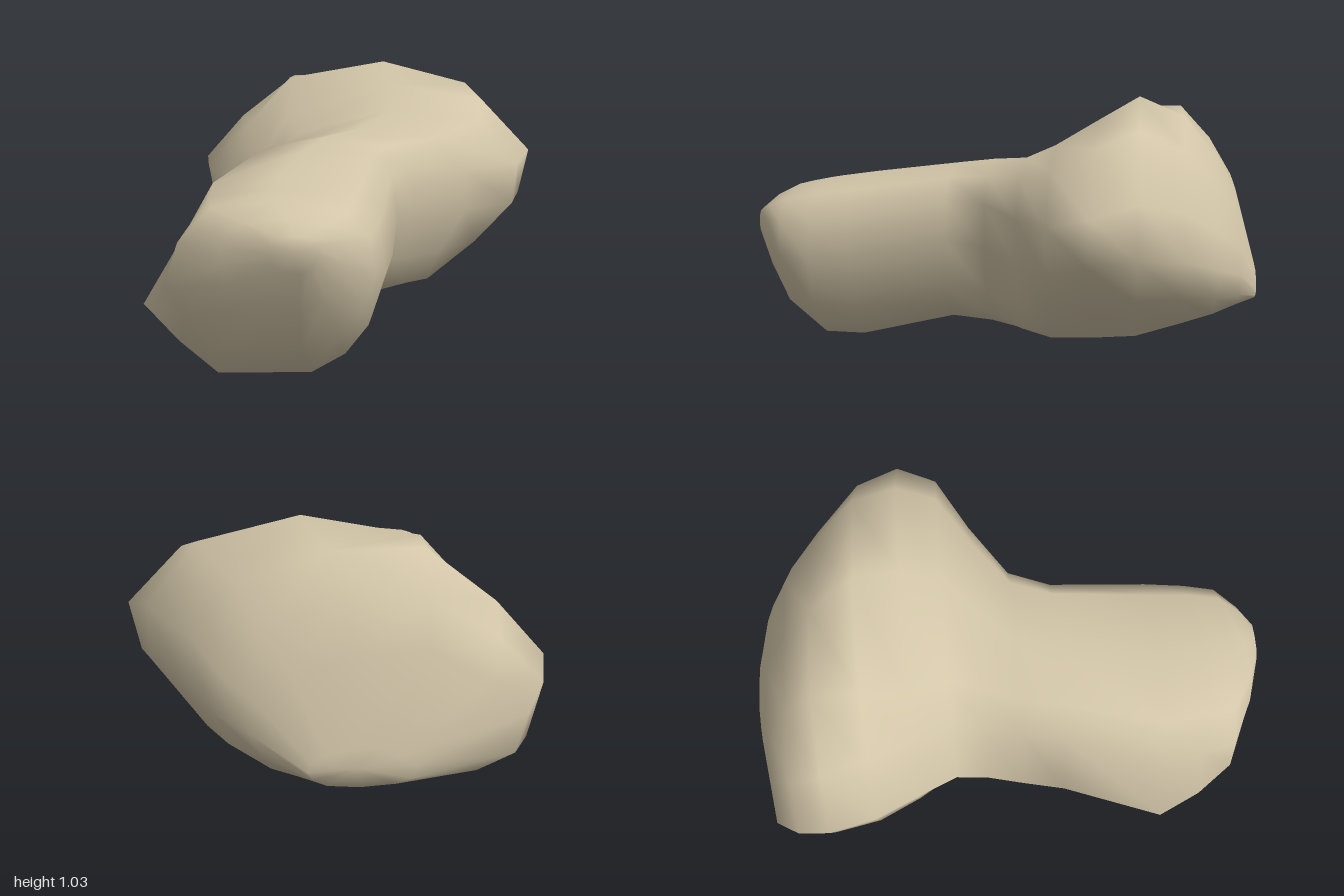
import * as THREE from 'three';

// Cross-section outlines, counter-clockwise from the +x side
const OUTLINES = [
  // rounded front end
  [[.17, .4], [.15, .52], [.08, .6], [-.15, .63], [-.38, .61], [-.5, .5],
    [-.52, .38], [-.46, .27], [-.33, .17], [-.08, .15], [.05, .2], [.13, .3]],
  // shaft
  [[.21, .4], [.18, .56], [.1, .64], [-.19, .665], [-.42, .64], [-.52, .47],
    [-.68, .21], [-.56, .1], [-.42, 0], [-.05, .03], [.06, .1], [.14, .19]],
  // front of the head, with the right lobe
  [[.68, .5], [.72, .68], [.52, .89], [.15, .95], [-.3, .82], [-.42, .64],
    [-.6, .5], [-.56, .3], [-.4, .2], [.05, .13], [.26, .14], [.5, .34]],
  // back of the head, with the left lobe
  [[.46, .47], [.42, .62], [.28, .8], [0, .9], [-.3, .93], [-.55, .76],
    [-.71, .58], [-.66, .35], [-.5, .25], [-.1, .19], [.25, .22], [.4, .33]],
];

// Rings from front to back: z, x range, y range, position between the outlines
const RINGS = [
  [.99, -.16, 0, .43, .55, 0],
  [.94, -.33, .08, .3, .595, 0],
  [.86, -.53, .17, .14, .635, .25],
  [.74, -.61, .195, .02, .66, .7],
  [.58, -.68, .207, 0, .68, 1],
  [.2, -.56, .205, .1, .735, 1],
  [.04, -.53, .26, .105, .76, 1.2],
  [-.1, -.505, .46, .11, .785, 1.5],
  [-.22, -.51, .67, .12, .85, 1.8],
  [-.37, -.59, .72, .125, .94, 2],
  [-.53, -.68, .635, .13, 1.03, 2.4],
  [-.7, -.72, .5, .17, .96, 2.85],
  [-.82, -.7, .4, .2, .83, 3],
  [-.91, -.64, .27, .22, .68, 3],
  [-.99, -.27, .08, .24, .38, 3],
];

// Scale an outline to the range 0..1 on both axes
function normalise(outline) {
  const box = new THREE.Box2().setFromPoints(outline.map(([x, y]) => new THREE.Vector2(x, y)));
  const size = box.getSize(new THREE.Vector2());
  return outline.map(([x, y]) => [(x - box.min.x) / size.x, (y - box.min.y) / size.y]);
}

// Skin the rings and close both ends
function loft() {
  const shapes = OUTLINES.map(normalise);
  const n = shapes[0].length, last = RINGS.length - 1;
  const pos = [], index = [];
  for (const [z, x0, x1, y0, y1, k] of RINGS) {
    const from = shapes[Math.floor(k)], to = shapes[Math.ceil(k)];
    const mixed = from.map((p, j) => p.map((v, a) => THREE.MathUtils.lerp(v, to[j][a], k % 1)));
    for (const [u, v] of normalise(mixed)) pos.push(x0 + (x1 - x0) * u, y0 + (y1 - y0) * v, z);
  }
  for (let i = 0; i < last; i++) {
    for (let j = 0; j < n; j++) {
      const a = i * n + j, b = i * n + (j + 1) % n, c = a + n, d = b + n;
      index.push(a, c, b, b, c, d);
    }
  }
  const front = RINGS.length * n, back = front + 1;
  pos.push(-.08, .5, 1, -.08, .31, -1);
  for (let j = 0; j < n; j++) {
    const k = (j + 1) % n;
    index.push(front, j, k, back, last * n + k, last * n + j);
  }
  const geometry = new THREE.BufferGeometry();
  geometry.setAttribute('position', new THREE.Float32BufferAttribute(pos, 3));
  geometry.setIndex(index);
  geometry.computeVertexNormals();
  return geometry;
}

export function createModel() {
  const sand = new THREE.MeshStandardMaterial({ color: 0xd2c5a8 });
  sand.name = 'sandStone';
  const body = new THREE.Mesh(loft(), sand);
  body.name = 'rockBody';
  const group = new THREE.Group();
  group.name = 'rock';
  group.add(body);
  return group;
}
